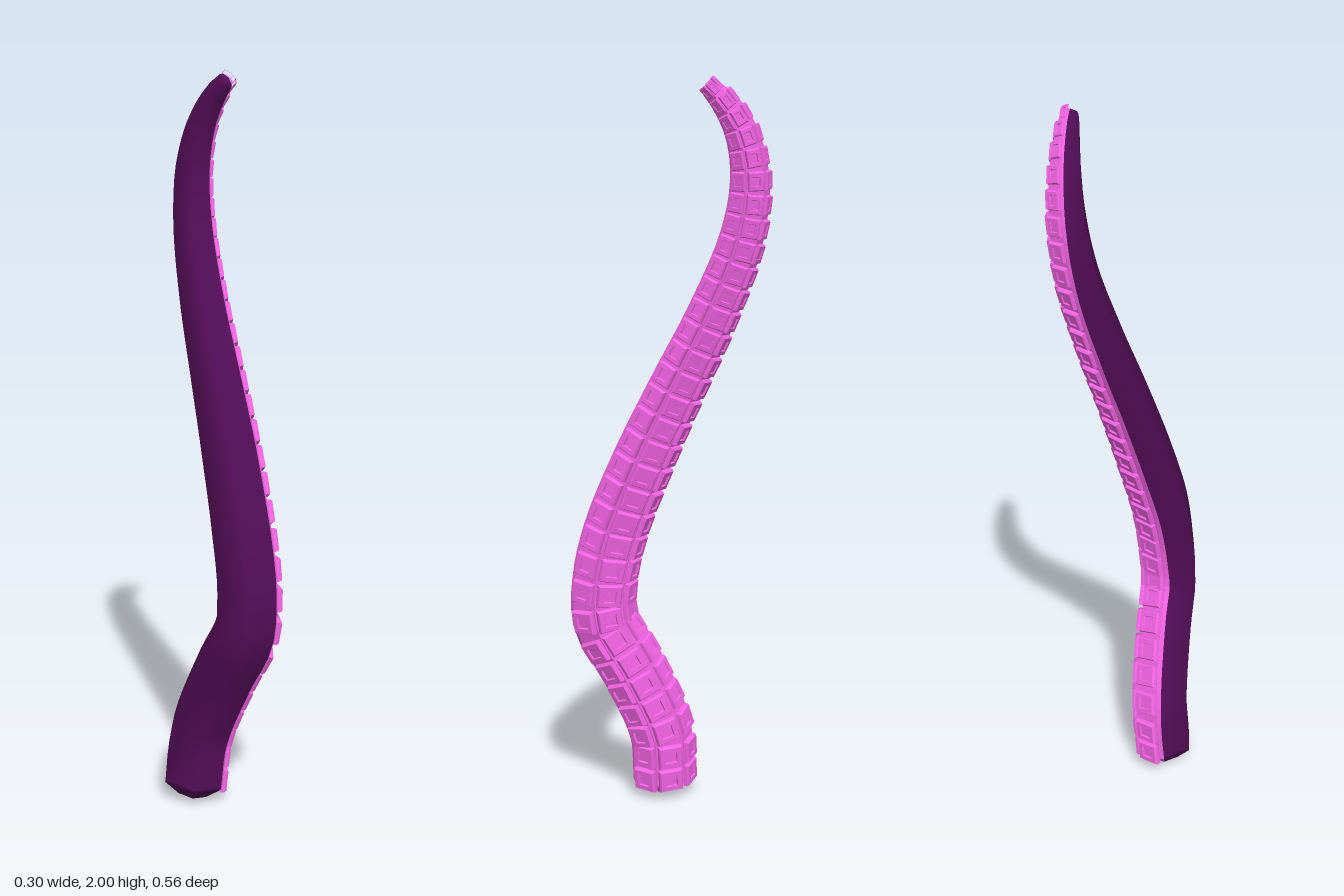
import * as THREE from 'three';
import { mergeGeometries } from 'three/addons/utils/BufferGeometryUtils.js';

// Centreline stations: x, y, z, radius
const stations = [
  [-0.059, 0.06, 0.058, 0.08], [-0.042, 0.2, 0.06, 0.081], [0.012, 0.4, 0.128, 0.081],
  [0.051, 0.53, 0.187, 0.081], [0.06, 0.655, 0.184, 0.08], [0.054, 0.8, 0.15, 0.079],
  [0.041, 1.0, 0.069, 0.075], [0.024, 1.2, -0.024, 0.068], [0.008, 1.4, -0.122, 0.061],
  [0.001, 1.6, -0.203, 0.054], [0.007, 1.75, -0.228, 0.048], [0.028, 1.87, -0.212, 0.04],
  [0.057, 1.945, -0.175, 0.031], [0.077, 1.978, -0.147, 0.023],
];
const curve = new THREE.CatmullRomCurve3(stations.map(([x, y, z]) => new THREE.Vector3(x, y, z)));
const gripSide = new THREE.Vector3(0.72, 0, -0.69);

// Position, axes and radius at arc-length fraction u
function frameAt(u) {
  const t = curve.getUtoTmapping(u);
  const T = curve.getTangent(t);
  const N = gripSide.clone().addScaledVector(T, -gripSide.dot(T)).normalize();
  const B = new THREE.Vector3().crossVectors(T, N);
  const s = t * (stations.length - 1);
  const i = Math.min(Math.floor(s), stations.length - 2);
  const R = THREE.MathUtils.lerp(stations[i][3], stations[i + 1][3], s - i);
  return { P: curve.getPoint(t), T, N, B, R };
}

// Cross-section rings: [u, shift along axis, scale], with a blunt base and a rounded tip
const rings = [[0, -0.7, 0], [0, -0.58, 0.5], [0, -0.1, 1]];
for (let i = 0; i <= 56; i++) rings.push([i / 56, 0, 1]);
rings.push([1, 0.4, 0.75], [1, 0.6, 0]);

// Sweep an open section, given as [toward grip, sideways] in radii, along the centreline
function sweep(section) {
  const pos = [], index = [], n = section.length;
  rings.forEach(([u, shift, scale], i) => {
    const { P, T, N, B, R } = frameAt(u);
    section.forEach(([grip, side], j) => {
      const p = P.clone().addScaledVector(T, shift * R)
        .addScaledVector(N, grip * R * scale).addScaledVector(B, side * R * scale);
      pos.push(p.x, p.y, p.z);
      if (i && j) {
        const d = i * n + j, c = d - 1, b = d - n, e = b - 1;
        index.push(e, b, d, e, d, c);
      }
    });
  });
  const g = new THREE.BufferGeometry();
  g.setAttribute('position', new THREE.Float32BufferAttribute(pos, 3));
  g.setIndex(index);
  g.computeVertexNormals();
  return g;
}

// Square sucker with a raised rim and a shallow sunken middle, one unit wide
function makeSucker() {
  const h = Math.SQRT1_2;
  const profile = [[h, -0.25], [h * 0.97, 0.6], [h * 0.87, 1], [h * 0.5, 1], [h * 0.45, 0.6], [0, 0.6]];
  return new THREE.LatheGeometry(profile.map(([x, y]) => new THREE.Vector2(x, y)), 4, Math.PI / 4);
}

// Rows of three suckers, shrinking toward the tip: [angle, toward grip, sideways, width]
const columns = [[-51, 0.46, -0.79, 0.86], [0, 0.82, 0, 0.88], [51, 0.46, 0.79, 0.86]];
function suckerRows() {
  const unit = makeSucker(), parts = [], length = curve.getLength();
  let u = 0.004;
  while (u < 1) {
    const { P, T, N, B, R } = frameAt(u);
    const step = 0.55 * R + 0.03;
    for (const [deg, grip, sideways, width] of columns) {
      const a = THREE.MathUtils.degToRad(deg);
      const out = N.clone().multiplyScalar(Math.cos(a)).addScaledVector(B, Math.sin(a));
      const side = new THREE.Vector3().crossVectors(out, T);
      const m = new THREE.Matrix4().makeBasis(
        side.multiplyScalar(width * R), out.multiplyScalar(0.18 * R), T.clone().multiplyScalar(0.88 * step));
      m.setPosition(P.clone().addScaledVector(N, grip * R).addScaledVector(B, sideways * R));
      parts.push(unit.clone().applyMatrix4(m));
    }
    u += step / length;
  }
  return mergeGeometries(parts);
}

export function createModel() {
  const group = new THREE.Group();
  group.name = 'tentacle';
  const dark = new THREE.MeshStandardMaterial({ color: 0x520d56 });
  const pink = new THREE.MeshStandardMaterial({ color: 0xf565e6, flatShading: true });
  const add = (name, geometry, material) => {
    const mesh = new THREE.Mesh(geometry, material);
    mesh.name = name;
    group.add(mesh);
  };

  // Smooth skin on the outer half, faceted underside on the gripping half
  add('outerSkin', sweep([[-0.06, 1.13], [-0.99, 0.6], [-0.99, -0.6], [-0.06, -1.13]]), dark);
  add('underside', sweep([[-0.06, -1.13], [0.1, -1.08], [0.82, -0.5], [0.82, 0.5], [0.1, 1.08], [-0.06, 1.13]]), pink);
  add('suckers', suckerRows(), pink);
  return group;
}
